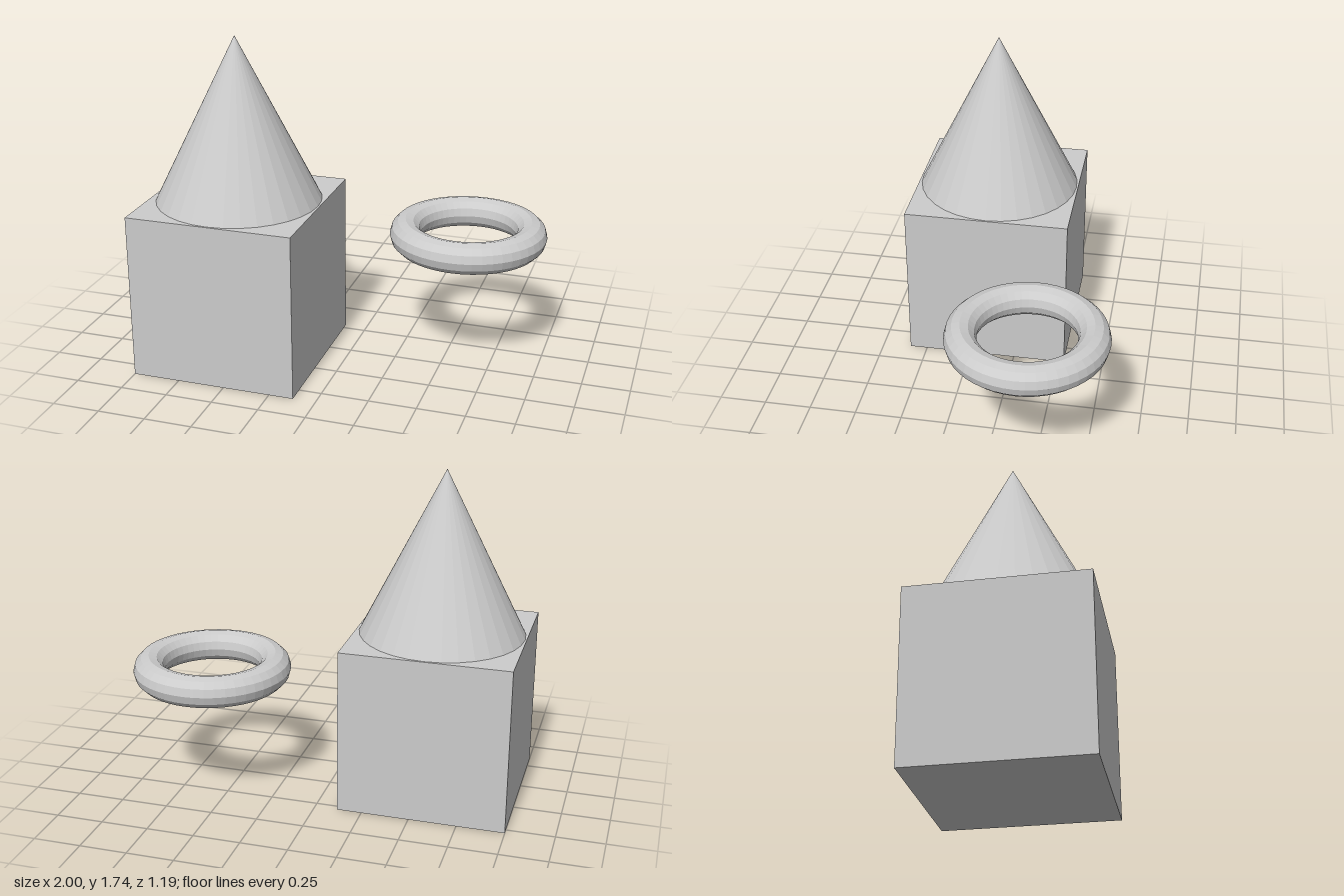
import * as THREE from 'three';

export function createModel() {
  const group = new THREE.Group();
  const material = new THREE.MeshStandardMaterial({ color: 0xcccccc, flatShading: true });

  const add = (name, geometry, x, y, z) => {
    const mesh = new THREE.Mesh(geometry, material);
    mesh.name = name;
    mesh.position.set(x, y, z);
    group.add(mesh);
    return mesh;
  };

  const size = 0.88, coneHeight = 0.864;
  const x = -0.56, z = 0.155;

  // Cube standing on the ground
  add('cube', new THREE.BoxGeometry(size, size, size), x, size / 2, z);

  // Cone resting on the cube
  add('cone', new THREE.ConeGeometry(0.432, coneHeight, 32), x, size + coneHeight / 2, z);

  // Ring lying flat, floating beside the cube
  const ring = add('ring', new THREE.TorusGeometry(0.33, 0.082, 12, 48), 0.588, 0.685, -0.187);
  ring.rotation.x = Math.PI / 2;

  return group;
}
